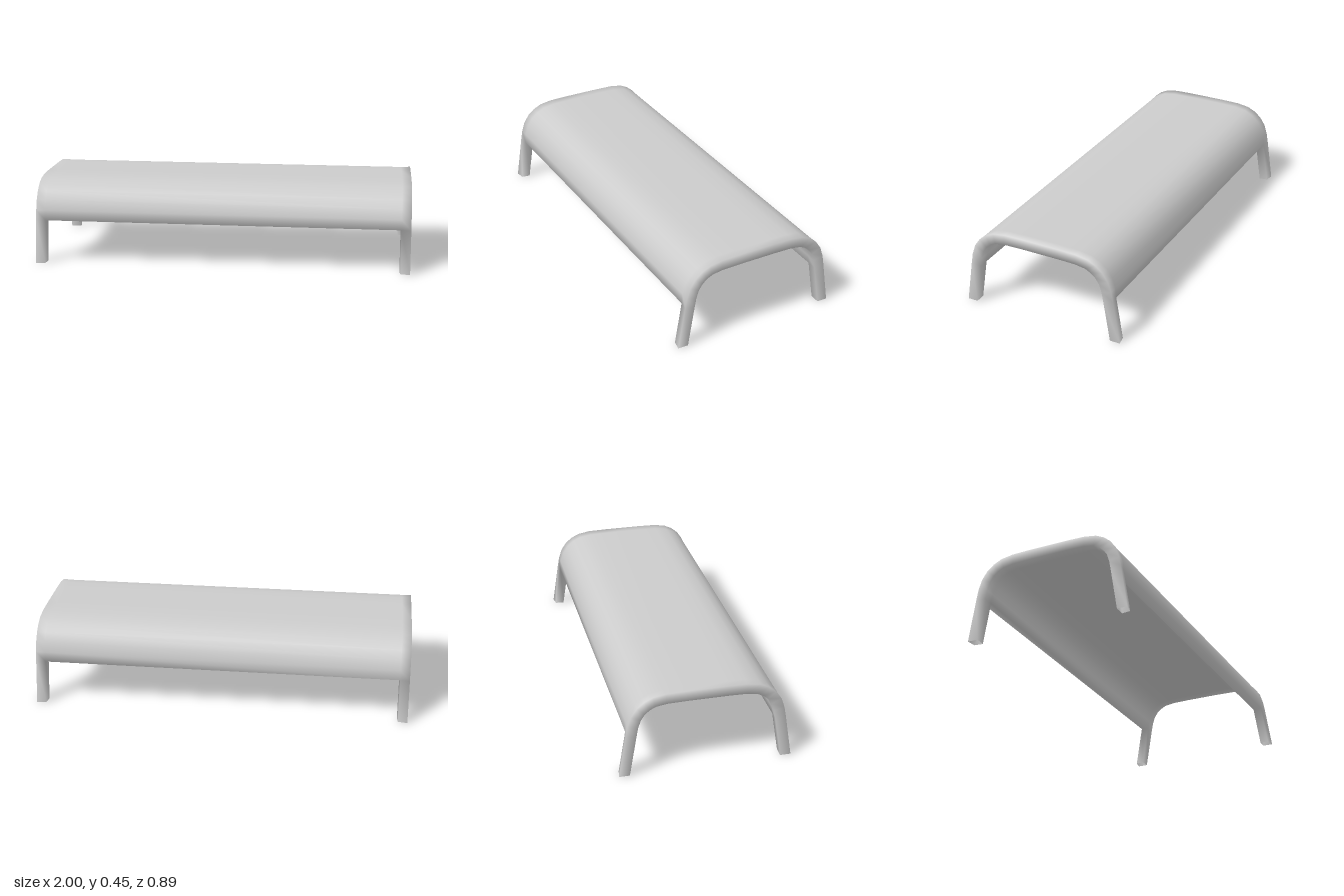
import * as THREE from 'three';

const material = new THREE.MeshStandardMaterial({ color: 0xcccccc, side: THREE.DoubleSide });

// Centre line of the bent slab as [z, y], front foot to the middle
const half = [
  [0.4175, 0], [0.382, 0.225], [0.373, 0.276], [0.357, 0.325], [0.332, 0.362],
  [0.301, 0.388], [0.264, 0.406], [0.203, 0.416], [0.103, 0.418],
];
const path = [...half, ...half.map(([z, y]) => [-z, y]).reverse()];
const end = path.length - 1;

// Outward normal [z, y] at a path point; level at the feet
function outward(i) {
  if (i === 0) return [1, 0];
  if (i === end) return [-1, 0];
  const dz = path[i + 1][0] - path[i - 1][0];
  const dy = path[i + 1][1] - path[i - 1][1];
  const length = Math.hypot(dz, dy);
  return [dy / length, -dz / length];
}

// Section at a path point as [x, outward offset]: inner face, then outer face
function section(i) {
  const low = i <= 1 || i >= end - 1;
  const outer = low ? 0.019 : 0.025;
  return [
    [-1, -0.0275], [-0.945, -0.0265], [0.945, -0.0265], [1, -0.0275],
    [1, 0.0275], [0.95, outer], [-0.95, outer], [-1, 0.0275],
  ];
}

export function createModel() {
  const positions = [];
  const index = [];
  path.forEach(([z, y], i) => {
    const [nz, ny] = outward(i);
    for (const [x, offset] of section(i)) positions.push(x, y + ny * offset, z + nz * offset);
  });

  // Walls between two neighbouring sections, around the given corner loop
  const wall = (i, loop) => loop.forEach((j, n) => {
    const k = loop[(n + 1) % loop.length];
    const a = i * 8 + j, b = i * 8 + k, c = a + 8, d = b + 8;
    index.push(a, d, b, a, c, d);
  });

  // Open-ended hollow legs at both ends of the path
  for (const i of [0, end - 1]) {
    wall(i, [0, 1, 6, 7]);
    wall(i, [2, 3, 4, 5]);
  }
  // Thick curved seat
  for (let i = 1; i < end - 1; i++) wall(i, [0, 1, 2, 3, 4, 5, 6, 7]);

  // Lower edges of the seat, between the legs
  const f = 8, b = (end - 1) * 8;
  index.push(f + 1, f + 2, f + 5, f + 1, f + 5, f + 6);
  index.push(b + 1, b + 5, b + 2, b + 1, b + 6, b + 5);

  const geometry = new THREE.BufferGeometry();
  geometry.setAttribute('position', new THREE.Float32BufferAttribute(positions, 3));
  geometry.setIndex(index);
  geometry.computeVertexNormals();
  const seat = new THREE.Mesh(geometry, material);
  seat.name = 'seatWithLegs';

  const group = new THREE.Group();
  group.name = 'bench';
  group.add(seat);
  return group;
}
